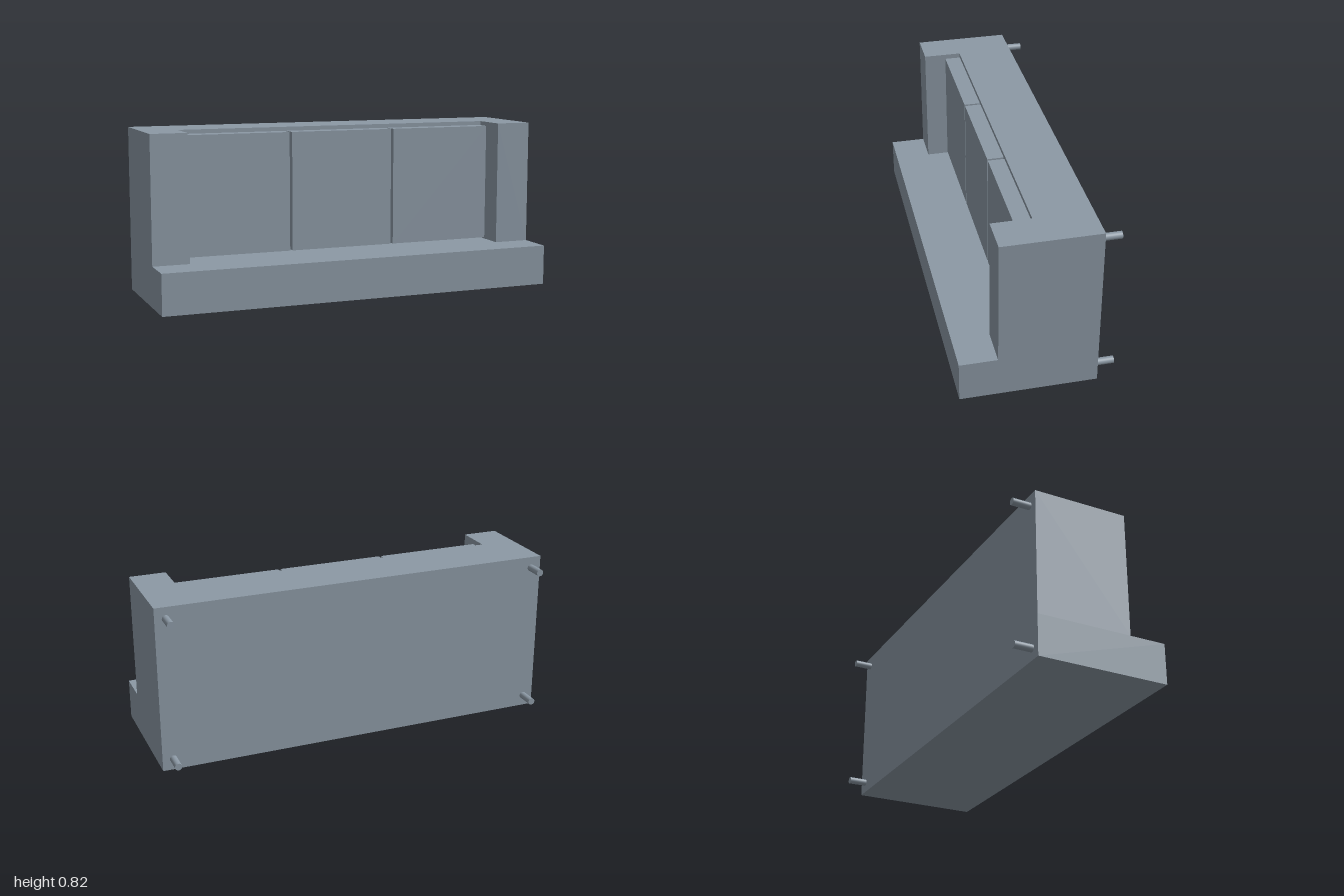
import * as THREE from 'three';

export function createModel() {
  const sofa = new THREE.Group();
  sofa.name = 'sofa';
  const fabric = new THREE.MeshStandardMaterial({ color: 0x8c99a5 });
  fabric.name = 'slate grey';

  const add = (name, geometry, x, y, z) => {
    const mesh = new THREE.Mesh(geometry, fabric);
    mesh.name = name;
    mesh.position.set(x, y, z);
    sofa.add(mesh);
    return mesh;
  };

  // Base slab across the full width
  add('base', new THREE.BoxGeometry(2, 0.2, 0.65), 0, 0.1, 0.045);

  // U-shaped upper frame: a rear panel with an arm at each end (plan drawn as x, -z)
  const plan = new THREE.Shape([
    [-1, 0.28], [-1, -0.19], [-0.82, -0.19], [-0.82, 0],
    [0.82, 0], [0.82, -0.19], [1, -0.19], [1, 0.28],
  ].map(([x, y]) => new THREE.Vector2(x, y)));
  const frame = new THREE.ExtrudeGeometry(plan, { depth: 0.62, bevelEnabled: false });
  frame.rotateX(-Math.PI / 2);
  add('frame', frame, 0, 0.2, 0);

  // Three cushions resting against the rear panel
  for (const i of [-1, 0, 1]) {
    add('cushion', new THREE.BoxGeometry(0.532, 0.59, 0.08), i * 0.545, 0.505, 0.04);
  }

  // Four round pegs on the back
  for (const x of [-0.947, 0.947]) {
    for (const y of [0.056, 0.764]) {
      const peg = add('peg', new THREE.CylinderGeometry(0.0175, 0.0175, 0.092, 24), x, y, -0.325);
      peg.rotation.x = Math.PI / 2;
    }
  }

  return sofa;
}
